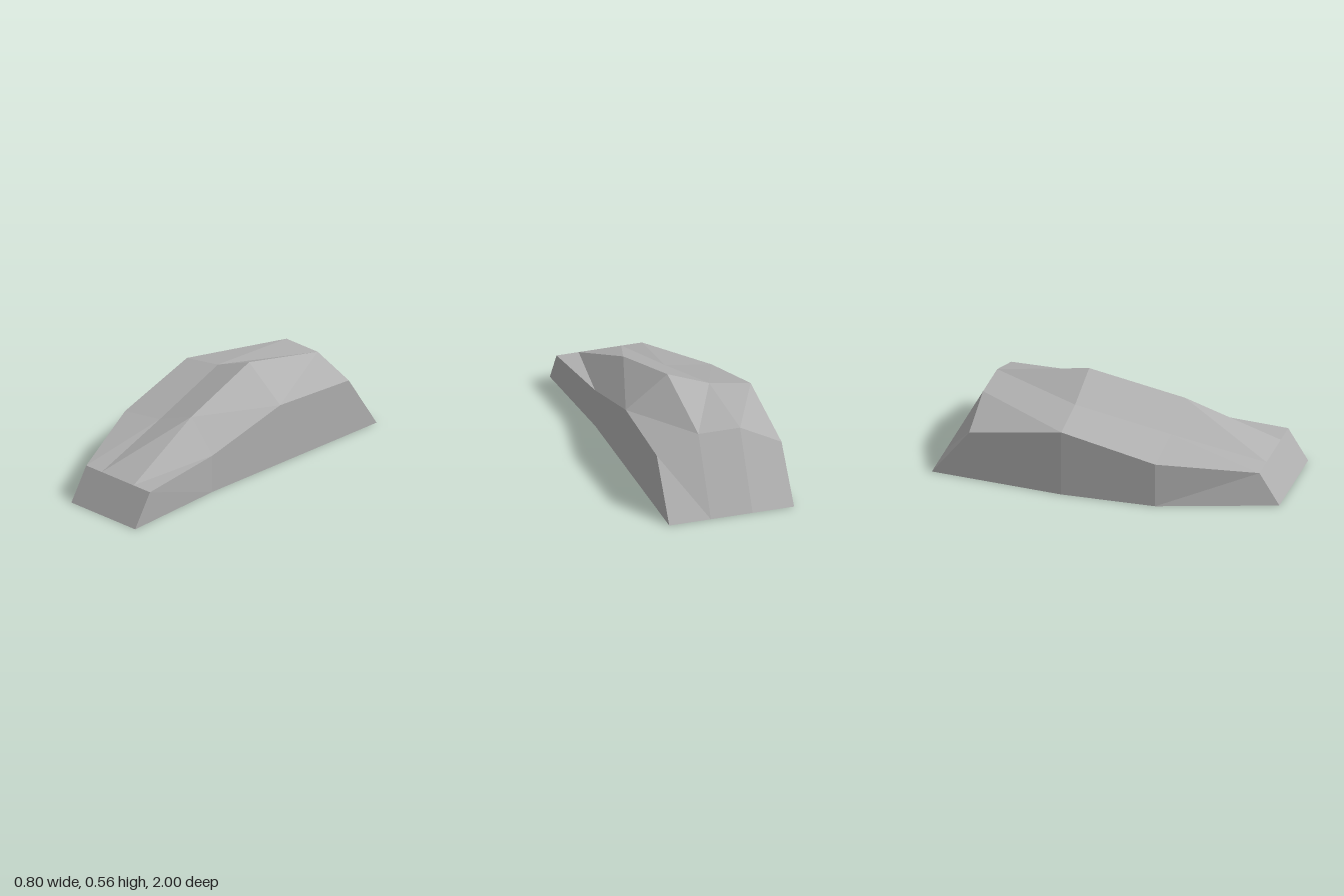
import * as THREE from 'three';

// Cross-sections from nose to tail: z, then four [x, y] points from right (-x) to left (+x)
const sections = [
  { z: 1.0, pts: [[-0.115, 0], [0.01, 0], [0.267, 0], [0.4, 0]] },
  { z: 0.88, pts: [[-0.115, 0.194], [0.01, 0.194], [0.267, 0.194], [0.4, 0.194]] },
  { z: 0.33, pts: [[-0.35, 0.28], [-0.07, 0.32], [0.183, 0.417], [0.353, 0.228]] },
  { z: -0.22, pts: [[-0.4, 0.417], [-0.15, 0.457], [0.102, 0.555], [0.353, 0.366]] },
  { z: -0.775, pts: [[-0.4, 0.307], [-0.15, 0.438], [0.102, 0.438], [0.353, 0.34]] },
  { z: -1.0, pts: [[-0.4, 0], [-0.15, 0], [0.102, 0], [0.353, 0]] },
];
const grid = sections.map(({ z, pts }) => pts.map(([x, y]) => [x, y, z]));

// Two triangles for corners a, b, c, d; the fold runs a-c, or b-d when flipped
const quad = (a, b, c, d, flip = false) =>
  flip ? [a, b, d, b, c, d] : [a, b, c, a, c, d];

function addPart(group, name, corners, material) {
  const geometry = new THREE.BufferGeometry();
  geometry.setAttribute('position', new THREE.Float32BufferAttribute(corners.flat(), 3));
  geometry.computeVertexNormals();
  const mesh = new THREE.Mesh(geometry, material);
  mesh.name = name;
  group.add(mesh);
}

export function createModel() {
  const group = new THREE.Group();
  group.name = 'facetedHull';
  const grey = new THREE.MeshStandardMaterial({ color: 0xb0b0b0 });
  grey.name = 'grey';
  grey.flatShading = true;

  // Front, upper and rear panels between neighbouring sections
  const names = ['nosePanel', 'hoodPanels', 'frontRoofPanels', 'rearRoofPanels', 'tailPanel'];
  names.forEach((name, s) => {
    const corners = [];
    for (let i = 0; i < 3; i++) {
      const flip = i === 2 && s >= 3; // the rear left facets fold the other way
      corners.push(...quad(grid[s][i], grid[s][i + 1], grid[s + 1][i + 1], grid[s + 1][i], flip));
    }
    addPart(group, name, corners, grey);
  });

  // Ground outline: the nose and tail reach past the upper sections
  const baseZ = [1, 0.33, -0.22, -1];
  const base = (col) => baseZ.map((z, k) => [grid[k + 1][col][0], 0, z]);
  const rightBase = base(0), leftBase = base(3);

  // Upright side walls and flat underside
  const leftWall = [], rightWall = [], underside = [];
  for (let k = 0; k < 3; k++) {
    const l0 = leftBase[k], l1 = leftBase[k + 1], r0 = rightBase[k], r1 = rightBase[k + 1];
    leftWall.push(...quad(l0, l1, grid[k + 2][3], grid[k + 1][3], true));
    rightWall.push(...quad(r1, r0, grid[k + 1][0], grid[k + 2][0]));
    underside.push(...quad(r0, r1, l1, l0));
  }
  addPart(group, 'leftWall', leftWall, grey);
  addPart(group, 'rightWall', rightWall, grey);
  addPart(group, 'underside', underside, grey);
  return group;
}
